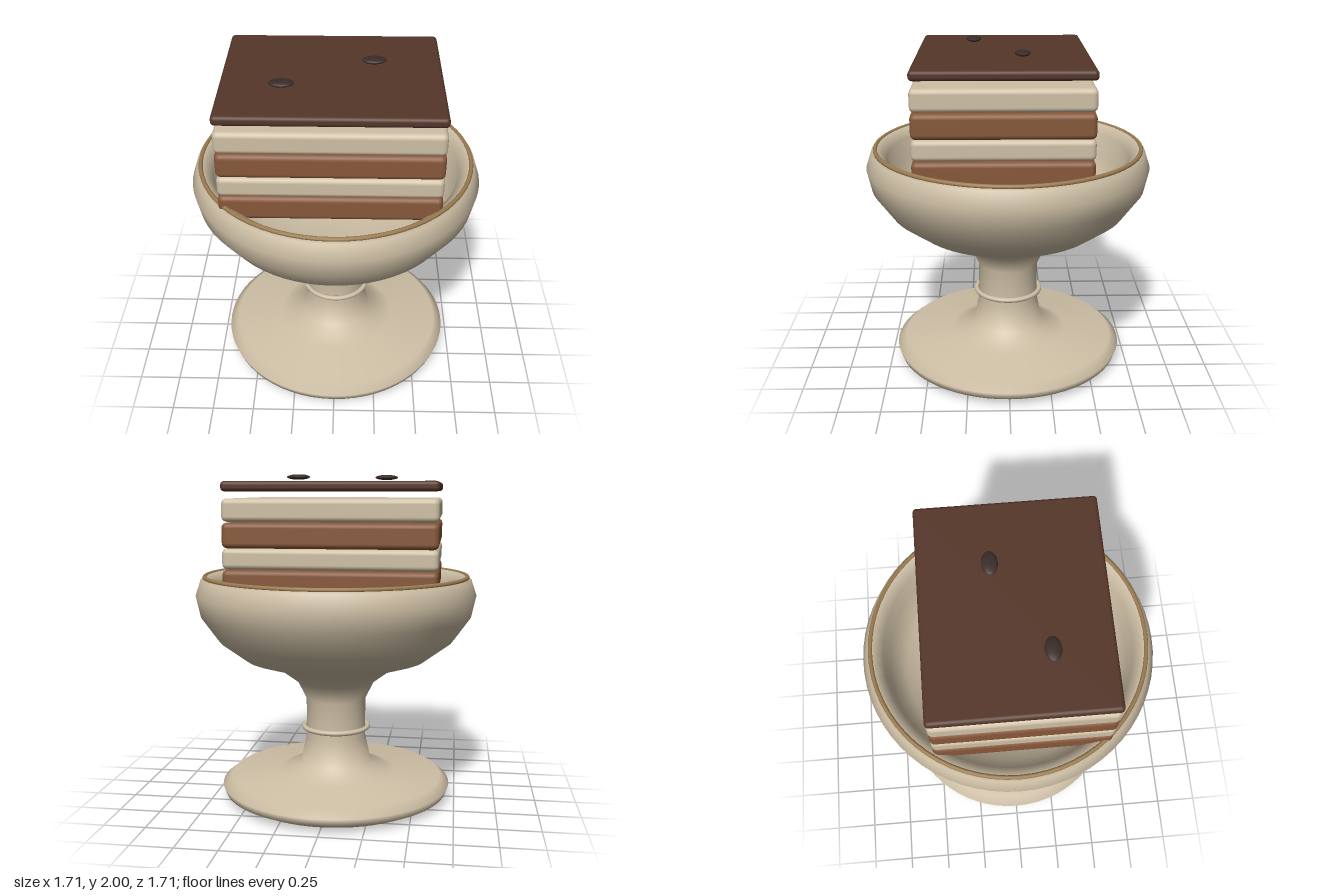
import * as THREE from 'three';
import { RoundedBoxGeometry } from 'three/addons/geometries/RoundedBoxGeometry.js';

const material = (color, side = THREE.FrontSide) =>
  new THREE.MeshStandardMaterial({ color, side });

export function createModel() {
  const model = new THREE.Group();
  model.name = 'layeredDessertInGoblet';

  const cream = material(0xcfc0a6);
  const brown = material(0x87583a);
  const chocolate = material(0x553629);
  const bean = material(0x3a2c28);
  const gold = material(0x9a7b50);

  const add = (name, geometry, mat, x = 0, y = 0, z = 0) => {
    const mesh = new THREE.Mesh(geometry, mat);
    mesh.name = name;
    mesh.position.set(x, y, z);
    model.add(mesh);
    return mesh;
  };

  // Goblet: foot, stem, outer bowl, lip and hollow inside in one turned profile
  const profile = [
    [0, 0], [0.62, 0.005], [0.70, 0.045], [0.715, 0.09], [0.66, 0.135],
    [0.37, 0.155], [0.22, 0.22], [0.185, 0.38], [0.185, 0.62], [0.24, 0.73],
    [0.36, 0.82], [0.565, 0.885], [0.72, 1.0], [0.83, 1.155], [0.857, 1.28],
    [0.825, 1.375], [0.79, 1.395], [0.73, 1.34], [0.71, 1.2], [0.62, 1.06],
    [0.45, 0.97], [0.2, 0.92], [0, 0.91],
  ].map(([r, y]) => new THREE.Vector2(r, y));
  add('goblet', new THREE.LatheGeometry(profile, 64),
    material(0xcfc0a6, THREE.DoubleSide));

  // Turned rings: gilded lip and stem collar
  const ring = (name, radius, tube, y, mat) => {
    const mesh = add(name, new THREE.TorusGeometry(radius, tube, 10, 64), mat, 0, y);
    mesh.rotation.x = Math.PI / 2;
  };
  ring('rimBand', 0.80, 0.013, 1.39, gold);
  ring('stemCollar', 0.20, 0.015, 0.437, cream);

  // Stacked cake layers: name, bottom, top, corner radius, material
  const layers = [
    ['lowerSponge', 1.31, 1.457, 0.03, brown],
    ['lowerCream', 1.46, 1.58, 0.03, cream],
    ['upperSponge', 1.58, 1.725, 0.03, brown],
    ['upperCream', 1.73, 1.86, 0.03, cream],
    ['cocoaTopping', 1.90, 1.957, 0.022, chocolate],
  ];
  for (const [name, bottom, top, radius, mat] of layers) {
    add(name, new RoundedBoxGeometry(1.23, top - bottom, 1.005, 3, radius), mat,
      -0.02, (bottom + top) / 2, 0.032);
  }

  // Two coffee beans on top
  for (const [name, x, z] of [['leftBean', 0.215, -0.08], ['rightBean', -0.29, 0.205]]) {
    add(name, new THREE.SphereGeometry(1, 16, 10), bean, x, 1.984, z)
      .scale.set(0.07, 0.016, 0.045);
  }

  return model;
}
